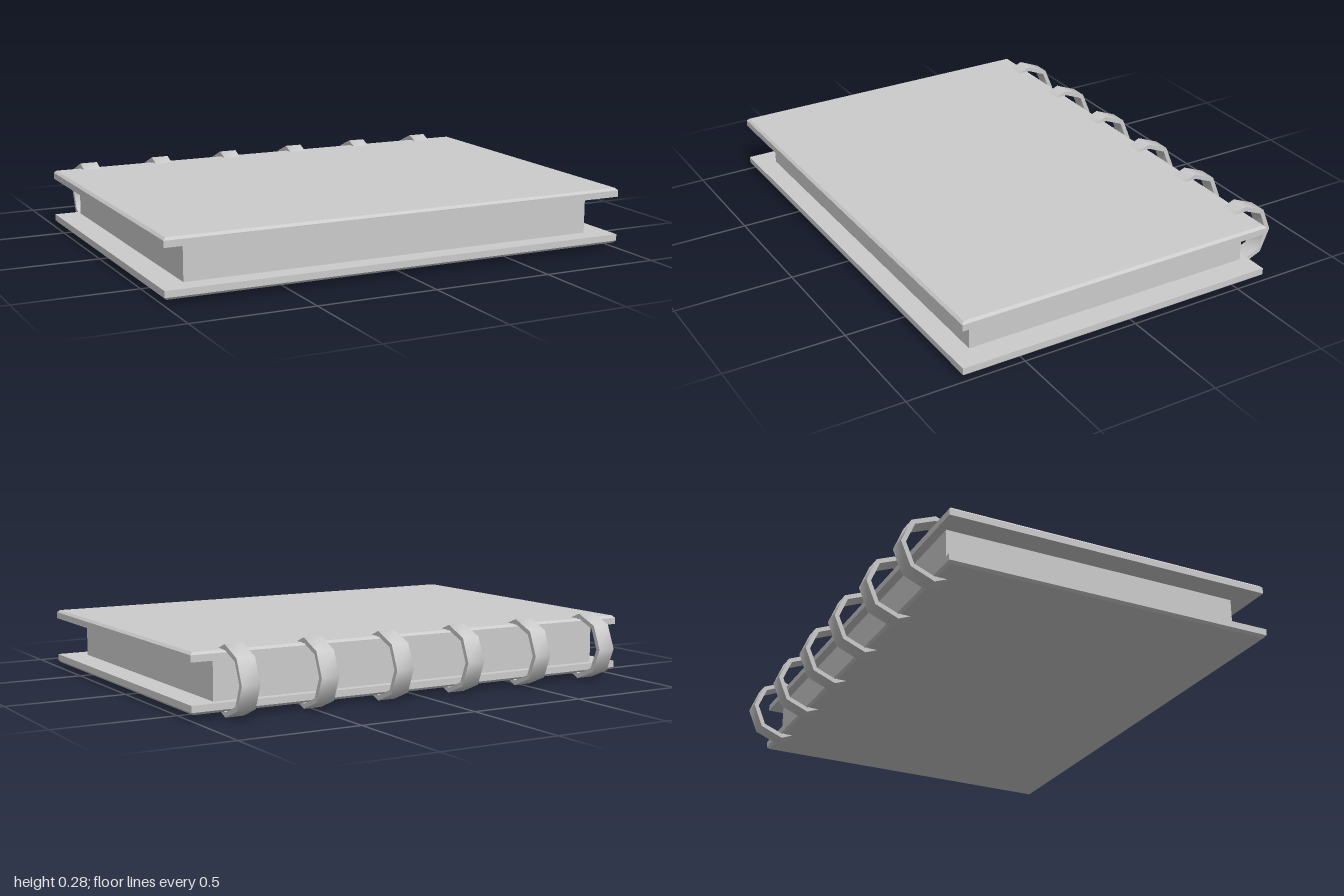
import * as THREE from 'three';
import { toCreasedNormals } from 'three/addons/utils/BufferGeometryUtils.js';

const material = new THREE.MeshStandardMaterial({ color: 0xcccccc });
const flatMaterial = new THREE.MeshStandardMaterial({ color: 0xcccccc, flatShading: true });

const RING_Z = -0.625, MID_Y = 0.14;

function addMesh(parent, name, geometry, mat, x, y, z) {
  const mesh = new THREE.Mesh(geometry, mat);
  mesh.name = name;
  mesh.position.set(x, y, z);
  parent.add(mesh);
  return mesh;
}

// Flat board whose top rim is chamfered
function coverGeometry(width, height, depth, bevel) {
  const geometry = new THREE.BoxGeometry(width, height, depth, 1, 2, 1);
  const p = geometry.attributes.position;
  for (let i = 0; i < p.count; i++) {
    const y = p.getY(i);
    if (Math.abs(y) < 1e-4) p.setY(i, height / 2 - bevel);
    else if (y > 0) {
      p.setX(i, p.getX(i) - Math.sign(p.getX(i)) * bevel);
      p.setZ(i, p.getZ(i) - Math.sign(p.getZ(i)) * bevel);
    }
  }
  geometry.computeVertexNormals();
  return geometry;
}

// Eight-sided band with a rectangular section, its axis along x
function ringGeometry(outer, inner, width) {
  const w = width / 2;
  const section = [[outer, -w], [outer, w], [inner, w], [inner, -w], [outer, -w]]
    .map(([r, y]) => new THREE.Vector2(r, y));
  const geometry = new THREE.LatheGeometry(section, 8);
  geometry.rotateZ(Math.PI / 2);
  return toCreasedNormals(geometry, Math.PI / 3);
}

export function createModel() {
  const book = new THREE.Group();
  book.name = 'ringBoundBook';

  // Covers, mirrored about the middle of the pages
  const cover = coverGeometry(2, 0.037, 1.39, 0.01);
  addMesh(book, 'topCover', cover, flatMaterial, 0, MID_Y + 0.0985, 0.07);
  const bottom = addMesh(book, 'bottomCover', cover, flatMaterial, 0, MID_Y - 0.0985, 0.07);
  bottom.rotation.z = Math.PI;

  // Page block
  addMesh(book, 'pages', new THREE.BoxGeometry(1.79, 0.164, 1.27), flatMaterial, 0, MID_Y, 0.045);

  // Binding rings along the back edge
  const ring = ringGeometry(0.138, 0.118, 0.076);
  for (let i = 0; i < 6; i++) {
    addMesh(book, 'bindingRing' + (i + 1), ring, material, -0.84 + i * 0.333, MID_Y, RING_Z);
  }
  return book;
}
